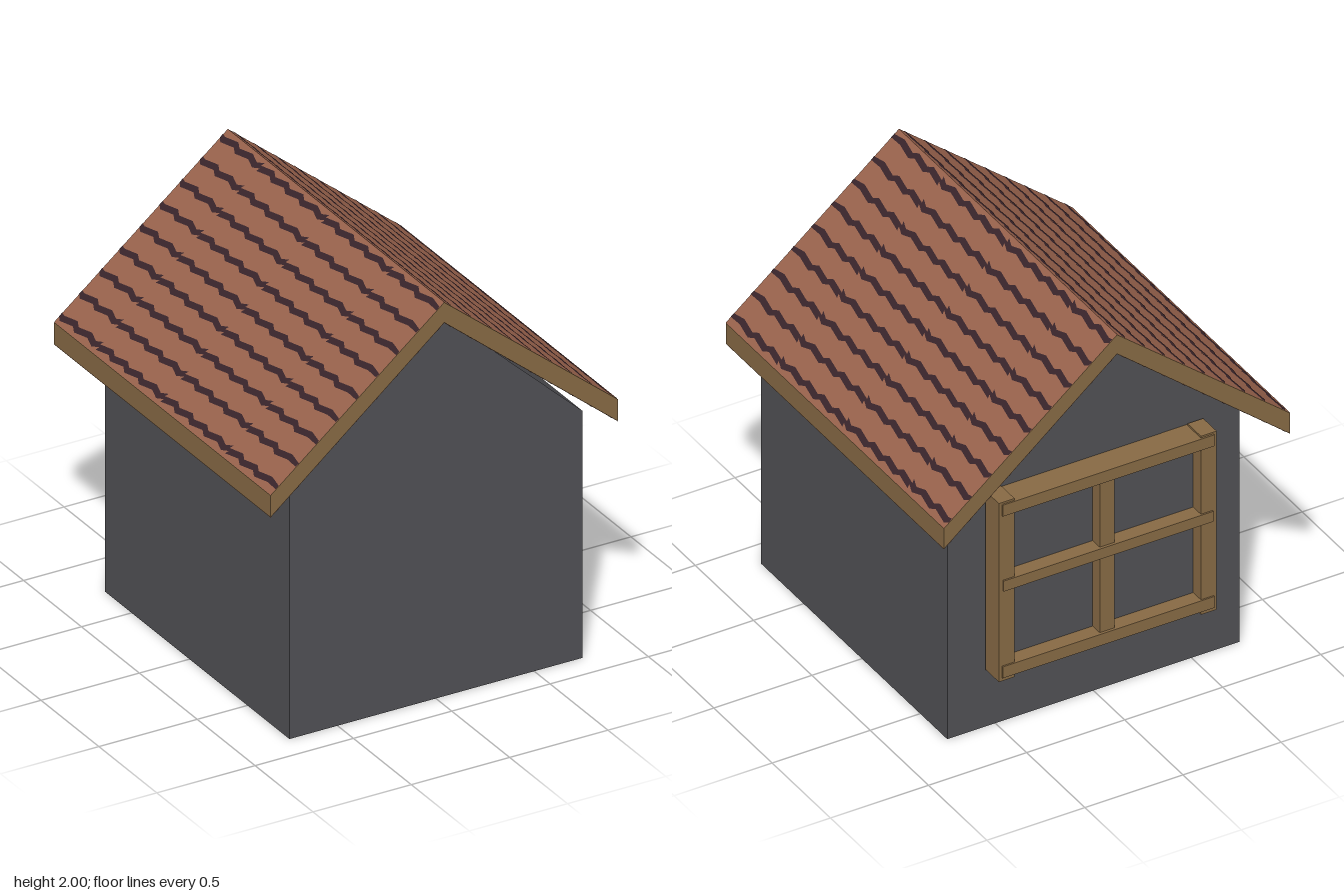
import * as THREE from 'three';

const mat = (name, color, side = THREE.FrontSide) => {
  const m = new THREE.MeshStandardMaterial({ color, side });
  m.name = name;
  return m;
};

export function createModel() {
  const house = new THREE.Group();
  house.name = 'house';
  const stone = mat('wall grey', 0x505054, THREE.DoubleSide);
  const wood = mat('wood brown', 0x866944);
  const tile = mat('tile red', 0x98624c, THREE.DoubleSide);
  const gap = mat('tile gap dark', 0x38242a, THREE.DoubleSide);

  const add = (parent, name, geometry, material) => {
    const mesh = new THREE.Mesh(geometry, material);
    mesh.name = name;
    parent.add(mesh);
    return mesh;
  };
  const shapeOf = pts => new THREE.Shape(pts.map(p => new THREE.Vector2(...p)));

  // Hollow shell without a floor: two pointed gables and two side walls
  const walls = new THREE.Group();
  walls.name = 'walls';
  house.add(walls);
  const W = 0.745, eaveY = 1.227, front = 0.863, back = -0.732;
  const gable = shapeOf([[-W, 0], [W, 0], [W, eaveY], [0, 1.92], [-W, eaveY]]);
  add(walls, 'frontGable', new THREE.ShapeGeometry(gable), stone).position.z = front;
  const rear = add(walls, 'backGable', new THREE.ShapeGeometry(gable), stone);
  rear.position.z = back;
  rear.rotation.y = Math.PI;
  for (const s of [-1, 1]) {
    const wall = add(walls, 'sideWall', new THREE.PlaneGeometry(front - back, eaveY), stone);
    wall.position.set(s * W, eaveY / 2, (front + back) / 2);
    wall.rotation.y = s * Math.PI / 2;
  }

  // Wooden roof slab, open chevron in section
  const roof = new THREE.Group();
  roof.name = 'roof';
  house.add(roof);
  const X = 0.883, Z = 0.935, topEave = 1.28, lowPeak = 1.9, lowEave = 1.172;
  const chevron = shapeOf([[0, lowPeak], [X, lowEave], [X, topEave], [0, 2], [-X, topEave], [-X, lowEave]]);
  const slab = new THREE.ExtrudeGeometry(chevron, { depth: 2 * Z, bevelEnabled: false });
  add(roof, 'roofFrame', slab.translate(0, 0, -Z), wood);

  // Flat outline (distance from ridge, z) laid on a roof slope
  const onSlope = (pts, side, peak, eave, lift) => {
    const geo = new THREE.ShapeGeometry(shapeOf(pts));
    const pos = geo.attributes.position;
    for (let i = 0; i < pos.count; i++) {
      const x = pos.getX(i), z = pos.getY(i);
      pos.setXYZ(i, side * x, peak + (eave - peak) * x / X + lift, z);
    }
    geo.computeVertexNormals();
    return geo;
  };

  // Stepped dark band between tile courses, repeating along the ridge
  const courseLine = x => {
    const upper = [[x - 0.008, -Z]], lower = [[x + 0.008, -Z]];
    for (let k = 0; k < 4; k++) {
      for (const d of [0, 0.125, 0.25, 0.31, 0.435]) {
        const z = -0.865 + k * 0.56 + d;
        const w = d === 0.25 ? 0.022 : 0.046;
        if (z + w > Z) continue;
        upper.push([x - 0.004, z - w], [x - 0.018, z + w]);
        lower.push([x + 0.02, z - w], [x + 0.006, z + w]);
      }
    }
    upper.push([x - 0.008, Z]);
    lower.push([x + 0.008, Z]);
    return [...upper, ...lower.reverse()];
  };

  // Tiles on the top and the underside of both slopes
  const sheet = [[0, -Z], [X, -Z], [X, Z], [0, Z]];
  for (const side of [-1, 1]) {
    for (const [peak, eave, lift] of [[2, topEave, 0.002], [lowPeak, lowEave, -0.0015]]) {
      add(roof, 'roofTiles', onSlope(sheet, side, peak, eave, lift), tile);
      for (let i = 0; i < 9; i++) {
        add(roof, 'tileCourse', onSlope(courseLine(0.032 + i * 0.1022), side, peak, eave, lift * 2), gap);
      }
    }
  }

  // Window standing just off the back wall
  const win = new THREE.Group();
  win.name = 'window';
  house.add(win);
  const bar = (name, w, h, x, y, z0, z1, material = wood) =>
    add(win, name, new THREE.BoxGeometry(w, h, z1 - z0), material).position.set(x, y, (z0 + z1) / 2);
  bar('windowPane', 0.98, 0.82, 0, 0.78, -0.789, -0.781, stone);
  for (const s of [-1, 1]) {
    bar('windowStile', 0.08, 0.945, s * 0.515, 0.78, -0.855, -0.74);
    bar('windowRail', 1.08, 0.06, 0, 0.785 + s * 0.428, -0.863, -0.733);
  }
  bar('windowMullion', 0.075, 0.87, 0, 0.78, -0.85, -0.74);
  bar('windowCrossbar', 1.07, 0.055, 0, 0.812, -0.863, -0.733);

  return house;
}
